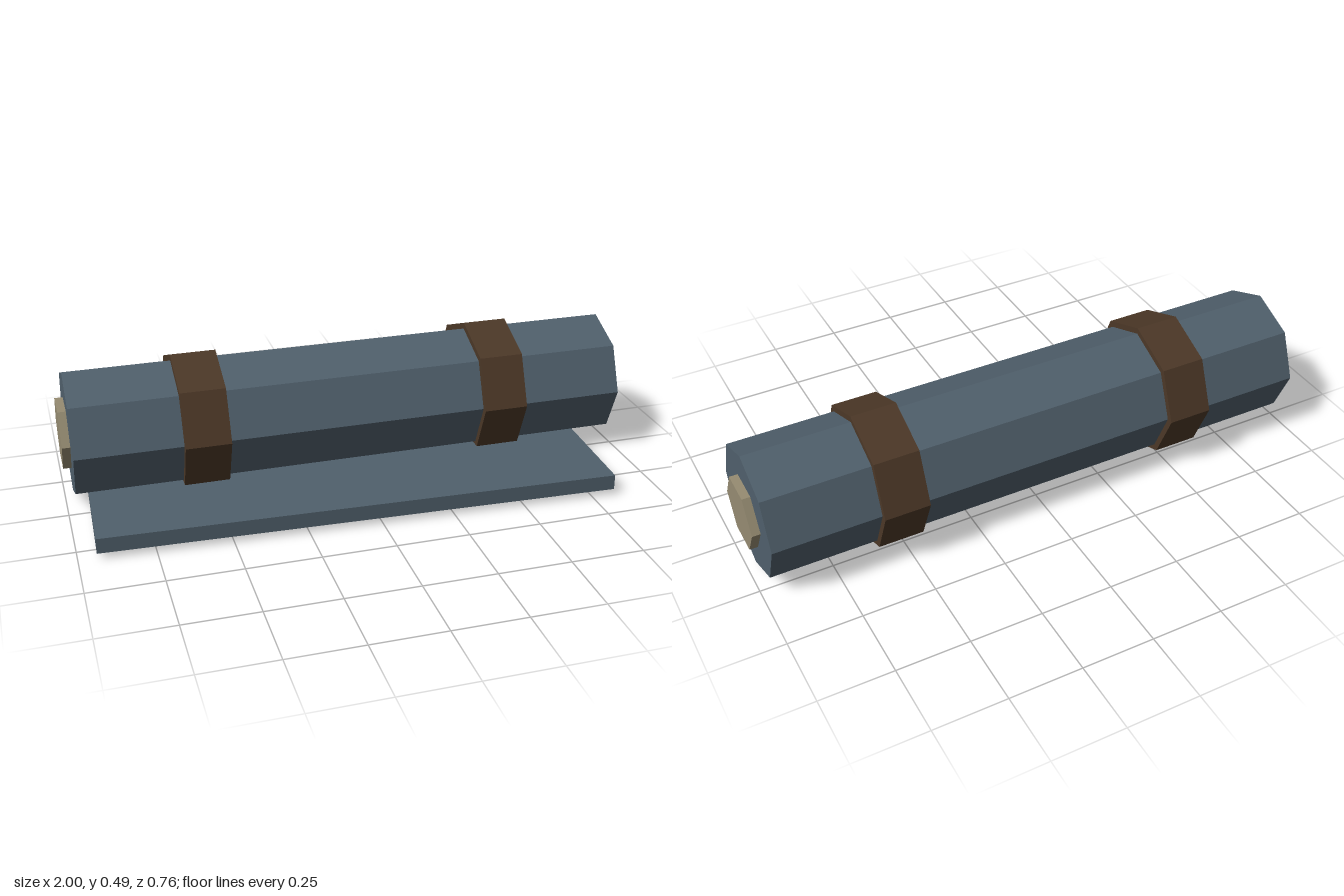
import * as THREE from 'three';

const AXIS_Y = 0.245, AXIS_Z = -0.138;

function flat(name, color) {
  const m = new THREE.MeshStandardMaterial({ color, flatShading: true });
  m.name = name;
  return m;
}

export function createModel() {
  const group = new THREE.Group();
  group.name = 'bedroll';
  const cloth = flat('slate cloth', 0x50606c);
  const leather = flat('brown leather', 0x4c3827);
  const lining = flat('tan lining', 0x968c72);

  // Prism lying along x, sharing the axis of the roll
  function prism(name, radius, length, sides, x, material) {
    const geo = new THREE.CylinderGeometry(radius, radius, length, sides);
    geo.rotateZ(Math.PI / 2);
    const mesh = new THREE.Mesh(geo, material);
    mesh.position.set(x, AXIS_Y, AXIS_Z);
    mesh.name = name;
    group.add(mesh);
  }

  // Rolled blanket and the inner core showing at both ends
  prism('roll', 0.221, 1.944, 8, 0, cloth);
  prism('innerCore', 0.121, 2, 6, 0, lining);

  // Two straps around the roll
  for (const side of [-1, 1]) {
    prism(side < 0 ? 'rightStrap' : 'leftStrap', 0.243, 0.156, 8, side * 0.53, leather);
  }

  // Loose flap lying on the ground, slightly askew
  const flap = new THREE.Mesh(new THREE.BoxGeometry(1.769, 0.053, 0.418), cloth);
  flap.position.set(-0.048, 0.05, 0.139);
  flap.rotation.y = -0.038;
  flap.name = 'flap';
  group.add(flap);

  return group;
}
